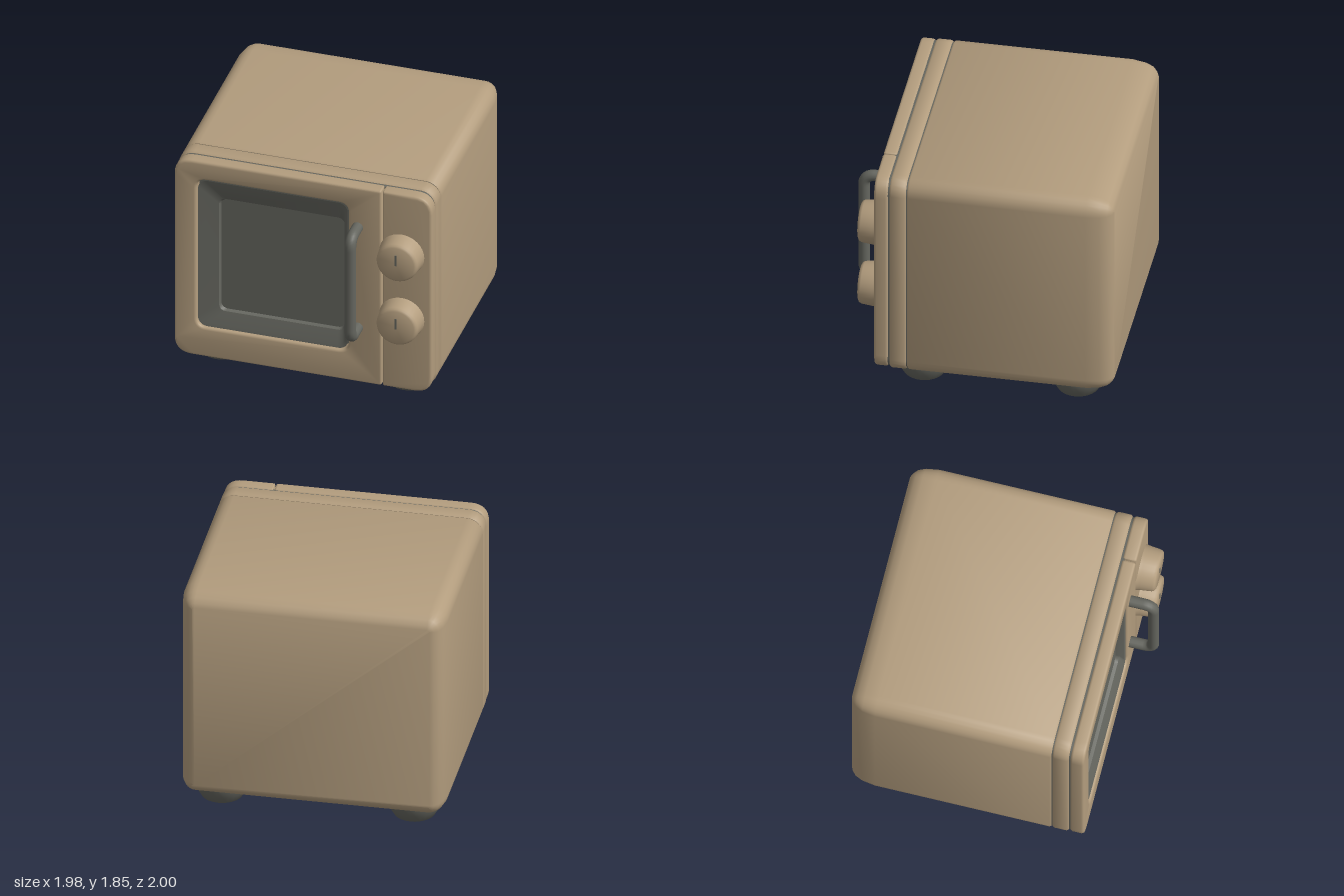
import * as THREE from 'three';
import { toCreasedNormals } from 'three/addons/utils/BufferGeometryUtils.js';

const tan = new THREE.MeshStandardMaterial({ color: 0xb39d7e });
tan.name = 'warm tan enamel';
const dark = new THREE.MeshStandardMaterial({ color: 0x65665f });
dark.name = 'dark grey';

// Points of a rounded rectangle, counterclockwise seen from +z
function roundedRing([x0, x1, y0, y1, r, z]) {
  const pts = [];
  const corners = [[x1 - r, y0 + r, -0.5], [x1 - r, y1 - r, 0], [x0 + r, y1 - r, 0.5], [x0 + r, y0 + r, 1]];
  for (const [cx, cy, start] of corners) {
    for (let i = 0; i <= 6; i++) {
      const a = (start + i / 12) * Math.PI;
      pts.push([cx + r * Math.cos(a), cy + r * Math.sin(a), z]);
    }
  }
  return pts;
}

// Skin through rounded-rectangle sections, closed at both ends
function loft(sections, capStart = true) {
  const rings = sections.map(roundedRing);
  const n = rings[0].length;
  const pos = rings.flat(2);
  const index = [];
  for (let k = 0; k < rings.length - 1; k++) {
    for (let i = 0; i < n; i++) {
      const a = k * n + i, b = k * n + (i + 1) % n;
      index.push(a, b, b + n, a, b + n, a + n);
    }
  }
  const last = (rings.length - 1) * n;
  for (let i = 1; i < n - 1; i++) {
    if (capStart) index.push(0, i + 1, i);
    index.push(last, last + i, last + i + 1);
  }
  const g = new THREE.BufferGeometry();
  g.setAttribute('position', new THREE.Float32BufferAttribute(pos, 3));
  g.setIndex(index);
  return toCreasedNormals(g, 0.75);
}

// Cabinet section at depth z, pulled in by an inset
const cabinet = (z, d) => [-0.99 + d, 0.99 - d, 0.15 + d, 1.85 - d, Math.max(0.12 - d, 0.02), z];

// Rectangle outline with separate left and right corner radii
function outline(Type, x0, x1, y0, y1, rl, rr) {
  const s = new Type();
  s.moveTo(x0 + rl, y0);
  s.lineTo(x1 - rr, y0);
  s.quadraticCurveTo(x1, y0, x1, y0 + rr);
  s.lineTo(x1, y1 - rr);
  s.quadraticCurveTo(x1, y1, x1 - rr, y1);
  s.lineTo(x0 + rl, y1);
  s.quadraticCurveTo(x0, y1, x0, y1 - rl);
  s.lineTo(x0, y0 + rl);
  s.quadraticCurveTo(x0, y0, x0 + rl, y0);
  return s;
}

// Front slab with a softened edge, from z = 0.675 to 0.78
function slab(shape) {
  const g = new THREE.ExtrudeGeometry(shape, {
    depth: 0.065, bevelThickness: 0.02, bevelSize: 0.02, bevelOffset: -0.02, bevelSegments: 3, curveSegments: 8,
  });
  g.translate(0, 0, 0.695);
  return toCreasedNormals(g, 0.75);
}

export function createModel() {
  const model = new THREE.Group();
  model.name = 'microwaveOven';
  const add = (name, geometry, material, x = 0, y = 0, z = 0) => {
    const m = new THREE.Mesh(geometry, material);
    m.name = name;
    m.position.set(x, y, z);
    model.add(m);
    return m;
  };

  // Cabinet: rounded shell, collar and the dark lining seen in the seams
  add('cabinetShell', loft([
    cabinet(-1, 0.1), cabinet(-0.985, 0.07), cabinet(-0.955, 0.038), cabinet(-0.9, 0.015),
    cabinet(-0.8, 0), cabinet(0.52, 0), cabinet(0.533, 0.01),
  ]), tan);
  add('frontCollar', loft([
    cabinet(0.542, 0.01), cabinet(0.555, 0), cabinet(0.65, 0), cabinet(0.664, 0.012),
  ]), tan);
  add('seamLining', loft([cabinet(0.5, 0.014), cabinet(0.69, 0.014)]), dark);

  // Door with window opening
  const door = outline(THREE.Shape, -0.99, 0.602, 0.16, 1.845, 0.14, 0.015);
  door.holes.push(outline(THREE.Path, -0.82, 0.35, 0.41, 1.69, 0.08, 0.08));
  add('door', slab(door), tan);

  // Sloping window surround and glass
  add('windowFrame', loft([
    [-0.81, 0.34, 0.42, 1.68, 0.07, 0.765],
    [-0.79, 0.32, 0.445, 1.66, 0.06, 0.76],
    [-0.66, 0.305, 0.55, 1.525, 0.05, 0.725],
    [-0.65, 0.3, 0.56, 1.51, 0.05, 0.7],
  ], false), dark);

  // Control panel
  add('controlPanel', slab(outline(THREE.Shape, 0.61, 0.99, 0.16, 1.845, 0.015, 0.14)), tan);

  // Knobs with pointer marks
  const knobProfile = [[0.175, 0], [0.168, 0.03], [0.158, 0.12], [0.15, 0.137], [0.135, 0.145], [0, 0.145]]
    .map(([r, h]) => new THREE.Vector2(r, h));
  const knob = toCreasedNormals(new THREE.LatheGeometry(knobProfile, 32).rotateX(Math.PI / 2), 0.75);
  for (const y of [1.33, 0.78]) {
    add('knob', knob, tan, 0.76, y, 0.775);
    add('knobPointer', new THREE.BoxGeometry(0.014, 0.09, 0.006), dark, 0.757, y + 0.03, 0.921);
  }

  // Door handle
  const path = new THREE.CurvePath();
  const v = (y, z) => new THREE.Vector3(0.42, y, z);
  path.add(new THREE.LineCurve3(v(1.505, 0.76), v(1.505, 0.88)));
  path.add(new THREE.QuadraticBezierCurve3(v(1.505, 0.88), v(1.5, 0.957), v(1.42, 0.957)));
  path.add(new THREE.LineCurve3(v(1.42, 0.957), v(0.72, 0.957)));
  path.add(new THREE.QuadraticBezierCurve3(v(0.72, 0.957), v(0.64, 0.957), v(0.635, 0.88)));
  path.add(new THREE.LineCurve3(v(0.635, 0.88), v(0.635, 0.76)));
  add('handle', new THREE.TubeGeometry(path, 80, 0.043, 14), dark);

  // Four rounded feet
  const footProfile = [[0, 0], [0.1, 0.008], [0.155, 0.04], [0.19, 0.1], [0.212, 0.16], [0.208, 0.19], [0.17, 0.21], [0, 0.215]]
    .map(([r, h]) => new THREE.Vector2(r, h));
  const foot = new THREE.LatheGeometry(footProfile, 28);
  for (const x of [-0.72, 0.72]) {
    for (const z of [0.45, -0.7]) add('foot', foot, dark, x, 0, z);
  }

  return model;
}
